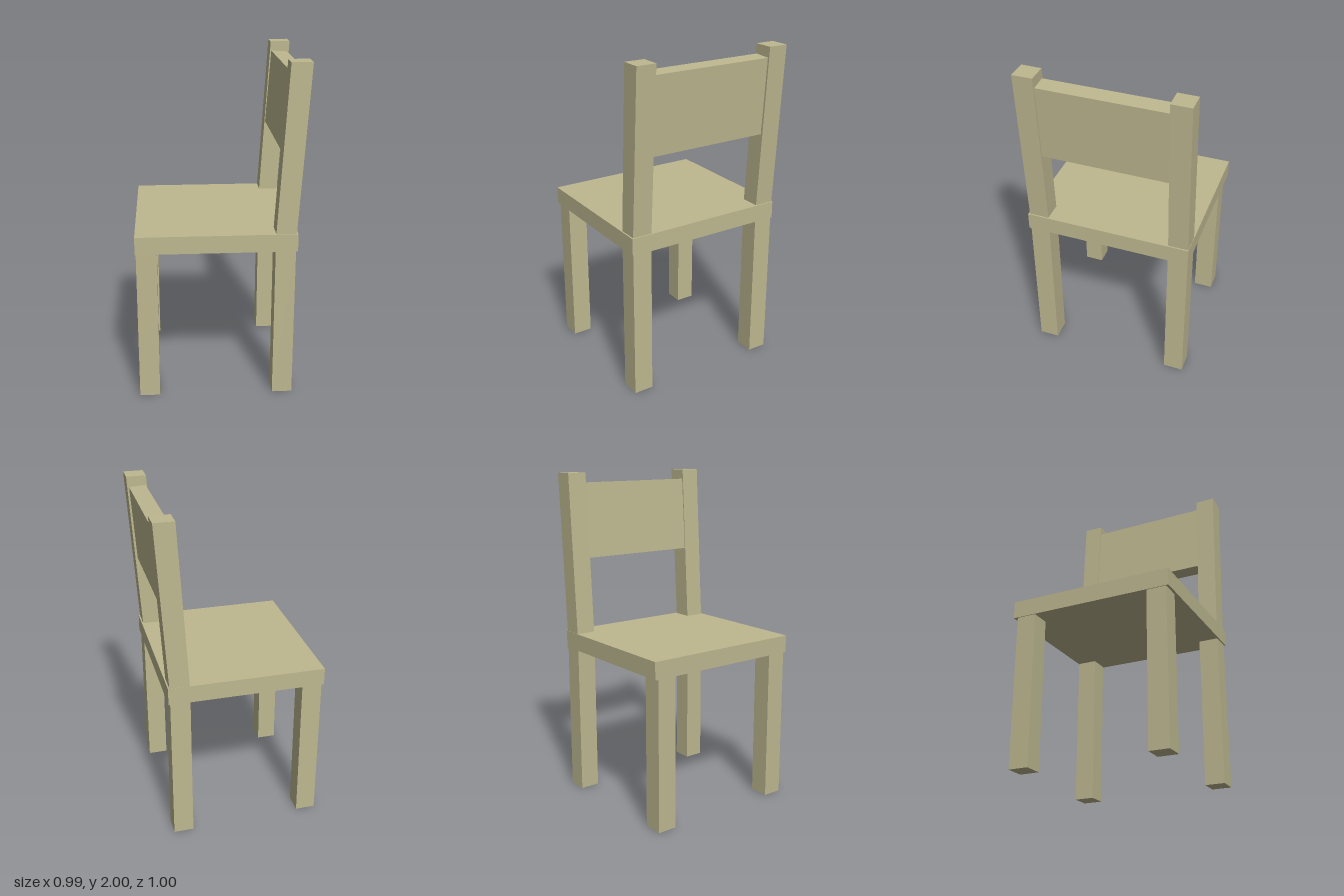
import * as THREE from 'three';

const material = new THREE.MeshStandardMaterial({ color: 0xbdb78f, flatShading: true });

// Side profile in the xy plane, extruded from z0 to z1
function slab(name, points, z0, z1) {
  const shape = new THREE.Shape(points.map(([x, y]) => new THREE.Vector2(x, y)));
  const geometry = new THREE.ExtrudeGeometry(shape, { depth: z1 - z0, bevelEnabled: false });
  geometry.translate(0, 0, z0);
  const mesh = new THREE.Mesh(geometry, material);
  mesh.name = name;
  return mesh;
}

// Box given by its two extreme corners
function box(name, [x0, y0, z0], [x1, y1, z1]) {
  const geometry = new THREE.BoxGeometry(x1 - x0, y1 - y0, z1 - z0);
  geometry.translate((x0 + x1) / 2, (y0 + y1) / 2, (z0 + z1) / 2);
  const mesh = new THREE.Mesh(geometry, material);
  mesh.name = name;
  return mesh;
}

export function createModel() {
  const chair = new THREE.Group();
  chair.name = 'chair';

  // Flat seat board; the chair's open side is toward -x
  chair.add(box('seat', [-0.495, 0.92, -0.5], [0.44, 1.025, 0.5]));

  // Straight legs under the open side
  for (const z of [-0.475, 0.365]) {
    chair.add(box('frontLeg', [-0.49, 0, z], [-0.37, 0.92, z + 0.12]));
  }

  // Back legs that bend at the seat into leaning posts
  const post = [[0.31, 0], [0.43, 0], [0.43, 1], [0.491, 2], [0.371, 2], [0.312, 1]];
  for (const z of [-0.498, 0.371]) {
    chair.add(slab('backPost', post, z, z + 0.12));
  }

  // Tilted back panel, slightly thinner than the posts
  const panel = [[0.345, 1.486], [0.445, 1.48], [0.476, 1.936], [0.376, 1.942]];
  chair.add(slab('backPanel', panel, -0.378, 0.371));

  return chair;
}
